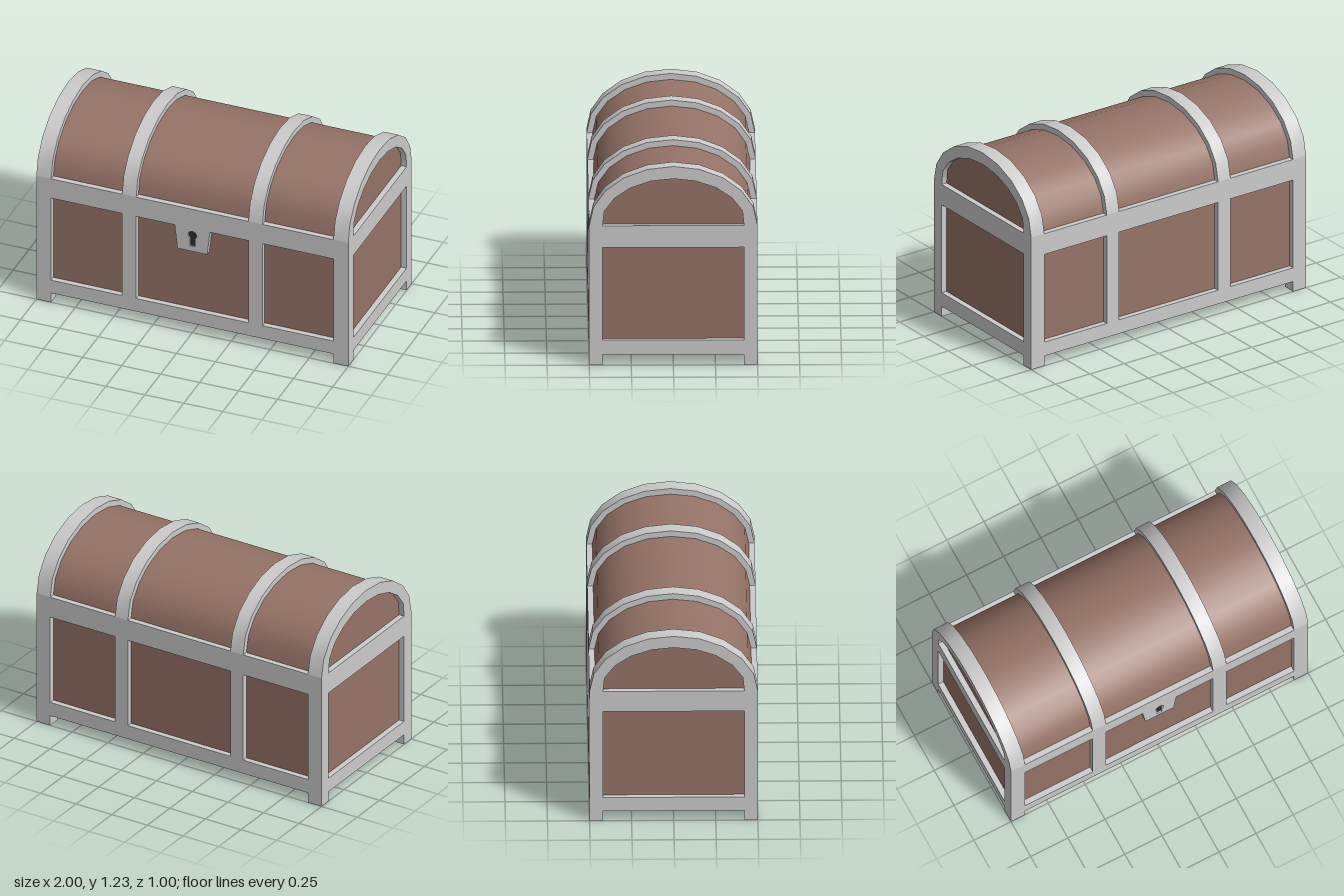
import * as THREE from 'three';
import { toCreasedNormals } from 'three/addons/utils/BufferGeometryUtils.js';

const metal = new THREE.MeshStandardMaterial({ color: 0xcccccc });
const wood = new THREE.MeshStandardMaterial({ color: 0x967367 });
const dark = new THREE.MeshStandardMaterial({ color: 0x2e2e2e });

const W = 1, D = 0.5;            // half width and half depth
const T = 0.035;                 // thickness of the frame over the wood
const BASE = 0.065, RIM = 0.865; // underside of the body, top of the body
const P0 = 0.155, P1 = 0.73;     // bottom and top of the recessed panels

function createModel() {
  const chest = new THREE.Group();
  chest.name = 'chest';

  const add = (name, geometry, material, x = 0, y = 0, z = 0) => {
    const mesh = new THREE.Mesh(geometry, material);
    mesh.name = name;
    mesh.position.set(x, y, z);
    chest.add(mesh);
    return mesh;
  };
  const extrude = (shape, depth) =>
    new THREE.ExtrudeGeometry(shape, { depth, bevelEnabled: false, curveSegments: 10 });
  const rect = (x0, x1, y0, y1) => [[x0, y0], [x1, y0], [x1, y1], [x0, y1]]
    .map(([x, y]) => new THREE.Vector2(x, y));

  // Half ellipse of ten straight steps, standing on the rim
  const arch = (a, b) => Array.from({ length: 11 }, (_, i) => {
    const t = (i * Math.PI) / 10;
    return new THREE.Vector2(a * Math.cos(t), RIM + b * Math.sin(t));
  });
  // Profile drawn across the depth, extruded along x, smooth over the vault
  const alongX = (points, depth) =>
    toCreasedNormals(extrude(new THREE.Shape(points), depth).rotateY(Math.PI / 2), 0.6);

  // Wooden body and vaulted lid
  add('body', new THREE.BoxGeometry(2 * (W - T), RIM - BASE, 2 * (D - T)), wood, 0, (RIM + BASE) / 2, 0);
  add('lid', alongX(arch(D - T, 0.33), 2 * (W - T)), wood, -(W - T));

  // Metal bands over the lid
  const inner = arch(0.432, 0.291).reverse();
  inner[0].x = -0.42;
  inner[10].x = 0.42;
  const band = [...arch(D, 0.367), ...inner];
  for (const [x0, x1] of [[-1, -0.905], [-0.45, -0.36], [0.36, 0.45], [0.905, 1]]) {
    add('lidBand', alongX(band, x1 - x0), metal, x0);
  }

  // Front and back frames with three panel openings
  const longFrame = new THREE.Shape(rect(-W + T, W - T, BASE, RIM));
  for (const [x0, x1] of [[-0.905, -0.45], [-0.36, 0.36], [0.45, 0.905]]) {
    longFrame.holes.push(new THREE.Path(rect(x0, x1, P0, P1)));
  }
  const longGeometry = extrude(longFrame, T);
  add('frontFrame', longGeometry, metal, 0, 0, D - T);
  add('backFrame', longGeometry, metal, 0, 0, -D);

  // End frames with one panel opening
  const endFrame = new THREE.Shape(rect(-D, D, BASE, RIM));
  endFrame.holes.push(new THREE.Path(rect(-0.42, 0.42, P0, P1)));
  const endGeometry = extrude(endFrame, T).rotateY(Math.PI / 2);
  add('leftFrame', endGeometry, metal, W - T);
  add('rightFrame', endGeometry, metal, -W);

  // Feet
  const footGeometry = new THREE.BoxGeometry(0.095, BASE, 0.08);
  for (const sx of [-1, 1]) {
    for (const sz of [-1, 1]) {
      add('foot', footGeometry, metal, sx * (W - 0.0475), BASE / 2, sz * (D - 0.04));
    }
  }

  // Lock plate with a keyhole cut through it
  const plate = new THREE.Shape([[-0.095, 0.57], [0.095, 0.57], [0.113, P1], [-0.113, P1]]
    .map(([x, y]) => new THREE.Vector2(x, y)));
  const keyhole = new THREE.Path();
  keyhole.moveTo(-0.016, 0.605);
  keyhole.lineTo(0.016, 0.605);
  keyhole.lineTo(0.016, 0.66);
  keyhole.absarc(0, 0.682, 0.0272, -0.942, Math.PI + 0.942, false);
  keyhole.closePath();
  plate.holes.push(keyhole);
  add('lockPlate', extrude(plate, T), metal, 0, 0, D - T);
  add('keyhole', new THREE.BoxGeometry(0.08, 0.13, 0.02), dark, 0, 0.658, D - 0.02);

  return chest;
}

export { createModel };
